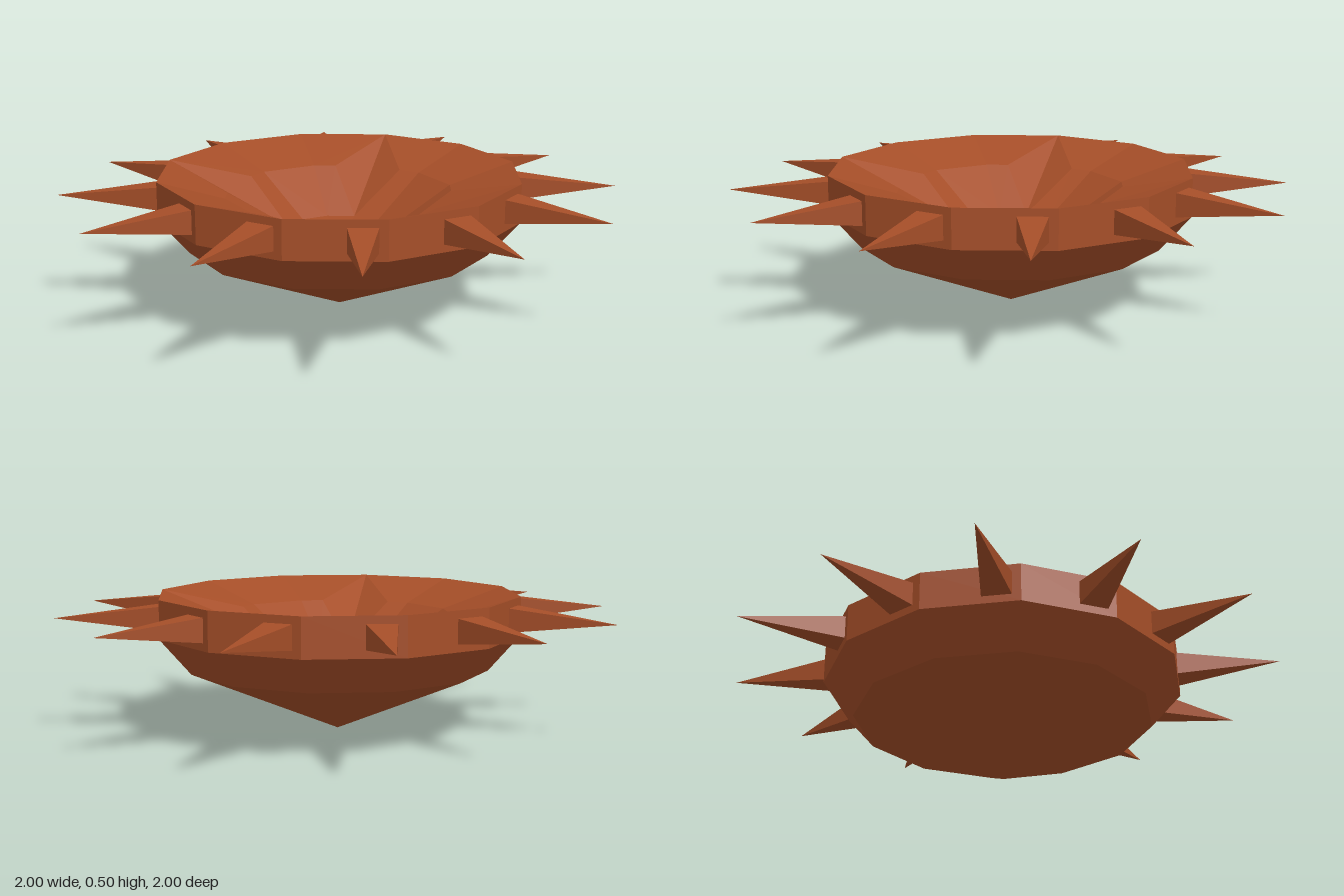
import * as THREE from 'three';

const SIDES = 12, RIM = 0.663, TOP = 0.5;

export function createModel() {
  const model = new THREE.Group();
  model.name = 'spikedBowl';
  const material = new THREE.MeshStandardMaterial({ color: 0xa54e28, flatShading: true });
  const add = (geometry, name, parent = model) => {
    const mesh = new THREE.Mesh(geometry, material);
    mesh.name = name;
    parent.add(mesh);
    return mesh;
  };

  // Faceted outer shell: pointed underside and upright band
  const profile = [[0, 0], [0.55, 0.23], [RIM, 0.36], [RIM, TOP]].map(p => new THREE.Vector2(...p));
  add(new THREE.LatheGeometry(profile, SIDES), 'outerShell');

  // Hollow with a straight groove along each of the four axes
  add(hollowGeometry(), 'hollow');

  // Ring of square spikes, each set off-centre on its side of the band
  const spikes = new THREE.Group();
  spikes.name = 'spikes';
  model.add(spikes);
  const base = 0.61, tip = 1.012;
  const spike = new THREE.ConeGeometry(Math.SQRT1_2, 1, 4, 1)
    .rotateY(Math.PI / 4)
    .scale(0.092, tip - base, 0.112)
    .rotateZ(-Math.PI / 2)
    .translate((base + tip) / 2, 0.43, -0.0885);
  for (let i = 0; i < SIDES; i++) {
    add(spike, 'spike', spikes).rotation.y = -(i + 0.5) * Math.PI * 2 / SIDES;
  }
  return model;
}

function hollowGeometry() {
  const positions = [];
  const up = new THREE.Vector3();
  // Triangles are turned so that they always face upward
  const tri = (a, b, c) => {
    up.subVectors(b, a).cross(c.clone().sub(a));
    for (const p of up.y > 0 ? [a, b, c] : [a, c, b]) positions.push(p.x, p.y, p.z);
  };
  const quad = (a, b, c, d) => { tri(a, b, c); tri(a, c, d); };
  const at = (r, y, degrees) => {
    const t = THREE.MathUtils.degToRad(degrees);
    return new THREE.Vector3(r * Math.cos(t), y, r * Math.sin(t));
  };
  const rim = d => at(RIM, TOP, d), step = d => at(0.42, 0.425, d), floor = d => at(0.2, 0.28, d);
  const centre = new THREE.Vector3(0, 0.245, 0);

  for (let axis = 0; axis < 360; axis += 90) {
    // Both halves of a groove and the slopes beside it
    for (const s of [1, -1]) {
      const side = at(0.407, 0.425, axis + s * 18.5), d = axis + s * 30;
      tri(rim(axis), side, floor(axis));
      tri(rim(axis), rim(d), step(d));
      tri(rim(axis), step(d), side);
      quad(side, step(d), floor(d), floor(axis));
      tri(floor(axis), floor(d), centre);
    }
    // Plain slope between two grooves
    const a = axis + 30, b = axis + 60;
    quad(rim(a), rim(b), step(b), step(a));
    quad(step(a), step(b), floor(b), floor(a));
    tri(floor(a), floor(b), centre);
  }
  const geometry = new THREE.BufferGeometry();
  geometry.setAttribute('position', new THREE.Float32BufferAttribute(positions, 3));
  geometry.computeVertexNormals();
  return geometry;
}
